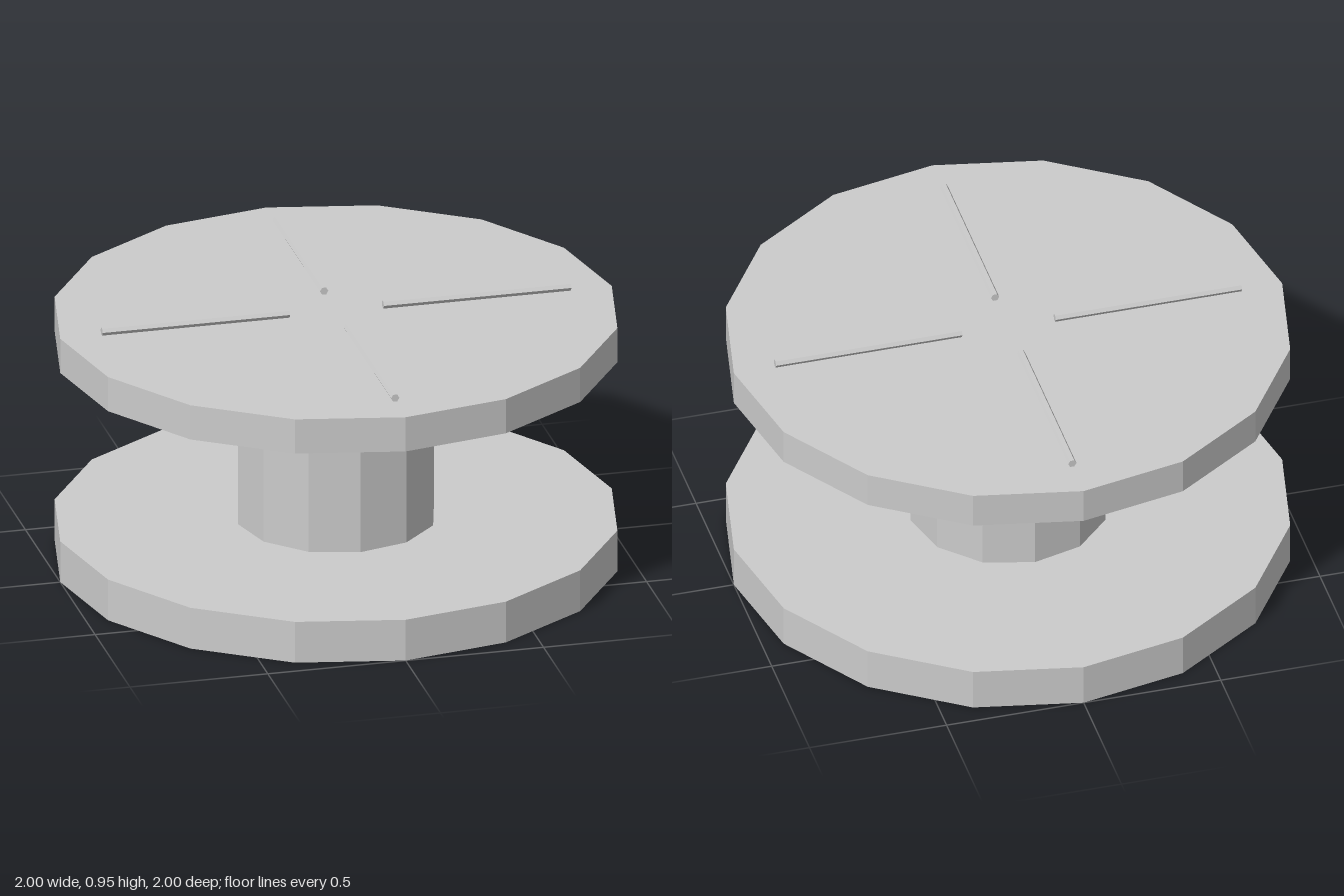
import * as THREE from 'three';

export function createModel() {
  const group = new THREE.Group();
  const material = new THREE.MeshStandardMaterial({ color: 0xcccccc, flatShading: true });

  // Upright faceted cylinder spanning y0..y1
  function addDrum(name, radius, y0, y1, sides) {
    const mesh = new THREE.Mesh(new THREE.CylinderGeometry(radius, radius, y1 - y0, sides), material);
    mesh.name = name;
    mesh.position.y = (y0 + y1) / 2;
    group.add(mesh);
  }

  // Two flanges joined by a narrow hub
  addDrum('bottomFlange', 1, 0, 0.155, 16);
  addDrum('hub', 0.355, 0.155, 0.795, 12);
  addDrum('topFlange', 1, 0.795, 0.925, 16);

  // Four thin rods laid in a cross on the top flange
  const inner = 0.17, outer = 0.85;
  const rodGeometry = new THREE.CylinderGeometry(0.015, 0.015, outer - inner, 6);
  rodGeometry.rotateZ(Math.PI / 2);
  rodGeometry.translate((inner + outer) / 2, 0, 0);
  ['leftRod', 'backRod', 'rightRod', 'frontRod'].forEach((name, i) => {
    const rod = new THREE.Mesh(rodGeometry, material);
    rod.name = name;
    rod.position.y = 0.938;
    rod.rotation.y = i * Math.PI / 2;
    group.add(rod);
  });

  return group;
}
